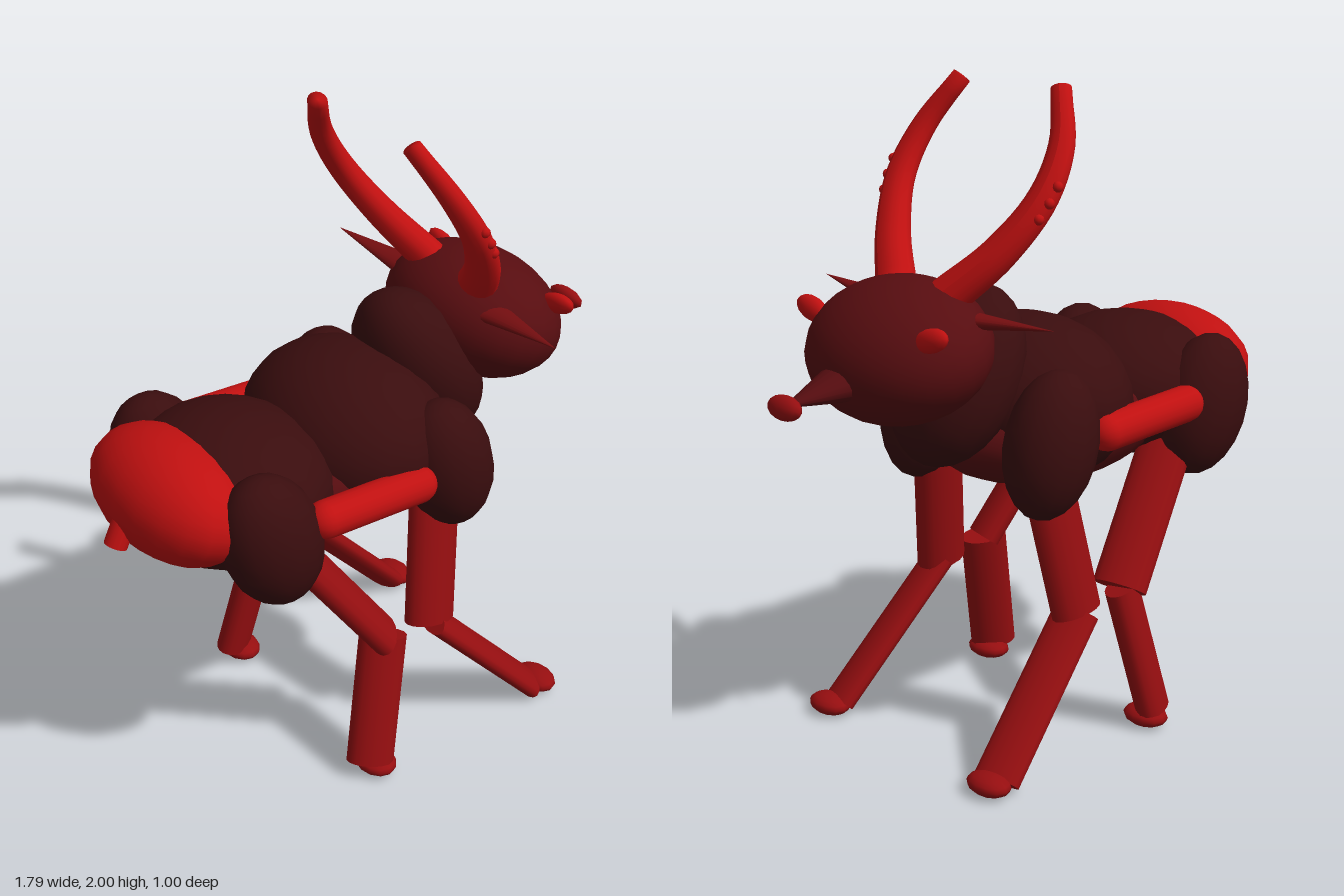
import * as THREE from 'three';

const mat = (name, color) => {
  const m = new THREE.MeshStandardMaterial({ color });
  m.name = name;
  return m;
};

export function createModel() {
  const model = new THREE.Group();
  model.name = 'hornedAnimal';
  const dark = mat('darkHide', 0x3a0d0e);
  const face = mat('headHide', 0x570d10);
  const earRed = mat('earRed', 0x750e10);
  const legRed = mat('legRed', 0x960e10);
  const bright = mat('brightRed', 0xc01010);

  const add = (name, geometry, material) => {
    const mesh = new THREE.Mesh(geometry, material);
    mesh.name = name;
    model.add(mesh);
    return mesh;
  };

  // Ellipsoid with an optional tilt in the side plane
  const blob = (name, material, pos, radii, tilt = 0, segs = 20) => {
    const mesh = add(name, new THREE.SphereGeometry(1, segs, Math.round(segs * 0.7)), material);
    mesh.position.set(...pos);
    mesh.scale.set(...radii);
    mesh.rotation.z = tilt;
    return mesh;
  };

  // Tapered rod between two points, with an oval section
  const rod = (name, material, from, to, ra, rb, widen = 1) => {
    const a = new THREE.Vector3(...from), b = new THREE.Vector3(...to);
    const dir = b.clone().sub(a);
    const mesh = add(name, new THREE.CylinderGeometry(rb, ra, dir.length(), 16), material);
    mesh.position.copy(a).add(b).multiplyScalar(0.5);
    mesh.quaternion.setFromUnitVectors(new THREE.Vector3(0, 1, 0), dir.normalize());
    mesh.scale.z = widen;
    return mesh;
  };

  // Curved horn that tapers to a closed tip
  const horn = (s) => {
    const curve = new THREE.CatmullRomCurve3([
      [0.37, 1.42, 0.11], [0.28, 1.55, 0.23], [0.185, 1.7, 0.305],
      [0.1, 1.84, 0.295], [0.02, 1.99, 0.21],
    ].map(([x, y, z]) => new THREE.Vector3(x, y, z * s)));
    const rings = 24, sides = 14;
    const geo = new THREE.TubeGeometry(curve, rings, 1, sides);
    const p = geo.attributes.position, v = new THREE.Vector3();
    for (let i = 0; i <= rings; i++) {
      const t = i / rings;
      const c = curve.getPointAt(Math.min(t, 1));
      const k = i === rings ? 0 : 0.056 - 0.03 * t;
      for (let j = 0; j <= sides; j++) {
        const n = i * (sides + 1) + j;
        v.fromBufferAttribute(p, n).sub(c).multiplyScalar(k);
        v.z *= 1.25;
        // The closing ring collapses onto the last open one
        if (i === rings) c.copy(curve.getPointAt(1));
        v.add(c);
        p.setXYZ(n, v.x, v.y, v.z);
      }
    }
    // Bring the last open ring up to the tip so the end is blunt
    const shift = curve.getPointAt(1).sub(curve.getPointAt((rings - 1) / rings)).multiplyScalar(0.9);
    for (let j = 0; j <= sides; j++) {
      const n = (rings - 1) * (sides + 1) + j;
      p.setXYZ(n, p.getX(n) + shift.x, p.getY(n) + shift.y, p.getZ(n) + shift.z);
    }
    geo.computeVertexNormals();
    add('horn', geo, bright);
    // Small knobs on the outer bend
    [0.45, 0.52, 0.59].forEach((t) => {
      const c = curve.getPointAt(t);
      blob('hornKnob', bright, [c.x + 0.012, c.y, c.z + s * 0.045], [0.016, 0.016, 0.016], 0, 8);
    });
  };

  // Trunk, rump and tail
  blob('hindBody', dark, [-0.48, 1.0, 0], [0.31, 0.225, 0.33]);
  blob('chest', dark, [-0.05, 1.03, 0], [0.29, 0.26, 0.355]);
  blob('belly', face, [-0.13, 0.95, 0], [0.43, 0.19, 0.29]);
  blob('rump', bright, [-0.68, 1.04, 0], [0.19, 0.18, 0.31], -0.3);
  rod('tail', bright, [-0.81, 1.06, 0], [-0.87, 0.94, 0], 0.035, 0.035);

  // Neck, head, snout and nose
  blob('neck', dark, [0.235, 1.15, 0], [0.17, 0.285, 0.21], 0.49);
  blob('head', face, [0.455, 1.265, 0], [0.25, 0.2, 0.31], -0.4, 24);
  rod('snout', face, [0.62, 1.21, 0], [0.84, 1.175, 0], 0.065, 0.008, 1.6);
  blob('nose', legRed, [0.86, 1.17, 0], [0.028, 0.036, 0.07], 0.4, 12);

  for (const s of [1, -1]) {
    // Head details
    horn(s);
    const ear = rod('ear', earRed, [0.35, 1.365, s * 0.2], [0.325, 1.385, s * 0.5], 0.05, 0.001);
    ear.scale.z = 0.5;
    const eye = blob('eye', bright, [0.558, 1.355, s * 0.265], [0.026, 0.035, 0.068], 0.3, 12);
    eye.rotation.x = -s * 0.25;

    // Shoulder, haunch and the bar along the flank
    blob('shoulder', dark, [0.12, 0.97, s * 0.28], [0.145, 0.225, 0.135], 0.25, 16);
    blob('haunch', dark, [-0.53, 0.97, s * 0.285], [0.155, 0.225, 0.13], 0.3, 16);
    const bar = add('flankBar', new THREE.CapsuleGeometry(0.057, 0.34, 6, 16), bright);
    bar.position.set(-0.215, 1.0, s * 0.345);
    bar.rotation.z = Math.PI / 2 - 0.06;

    // Front leg
    rod('frontUpperLeg', legRed, [0.11, 0.9, s * 0.24], [0.04, 0.44, s * 0.31], 0.058, 0.058, 1.5);
    rod('frontLowerLeg', legRed, [0.045, 0.44, s * 0.315], [0.42, 0.035, s * 0.37], 0.036, 0.036, 2.1);
    blob('frontHoof', legRed, [0.455, 0.038, s * 0.375], [0.055, 0.032, 0.077], 0, 12);

    // Back leg
    rod('backUpperLeg', legRed, [-0.42, 0.86, s * 0.24], [-0.145, 0.465, s * 0.31], 0.048, 0.048, 1.8);
    rod('backLowerLeg', legRed, [-0.148, 0.47, s * 0.315], [-0.24, 0.055, s * 0.37], 0.05, 0.05, 1.5);
    blob('backHoof', legRed, [-0.215, 0.038, s * 0.365], [0.06, 0.032, 0.077], 0, 12);
  }
  return model;
}
